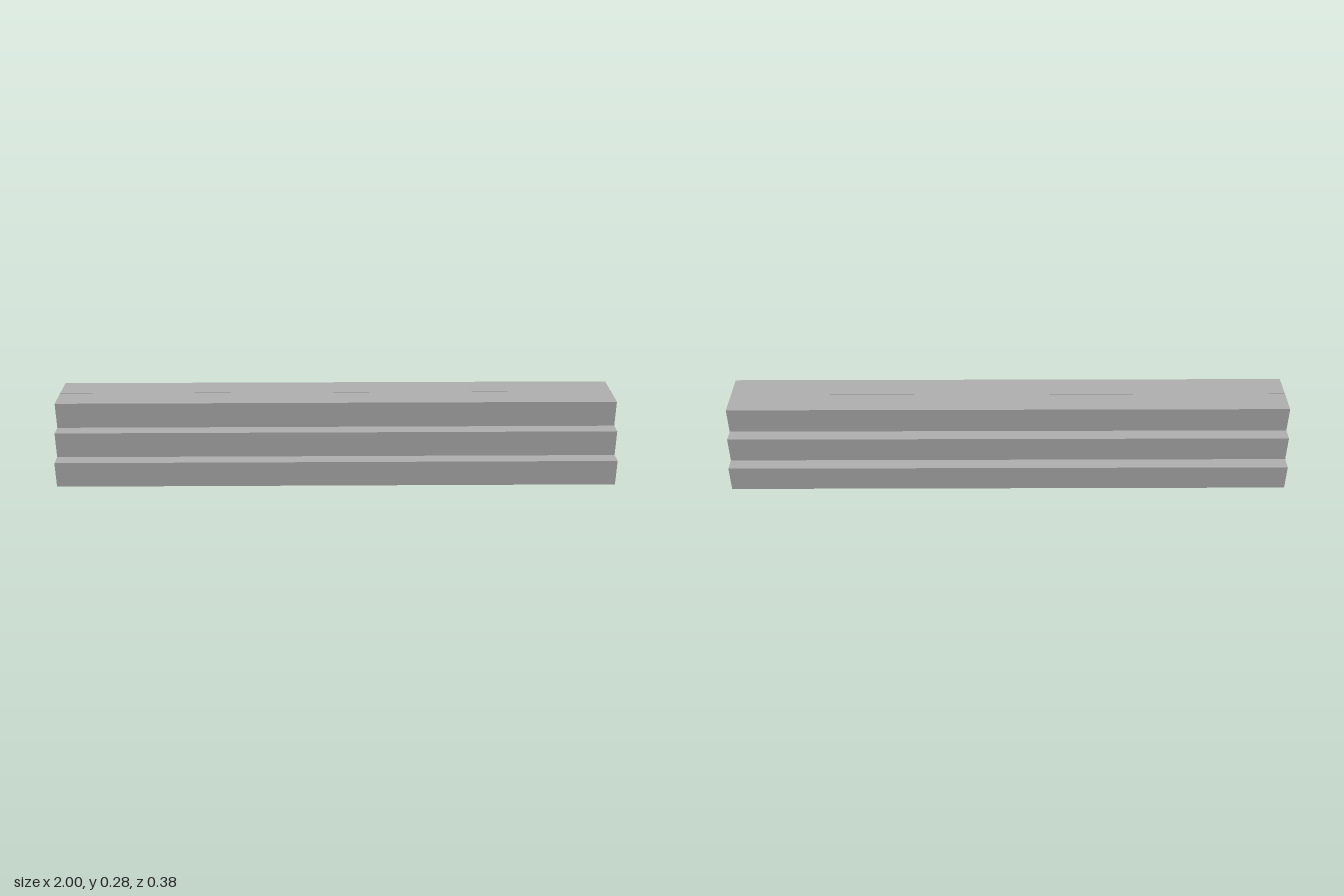
import * as THREE from 'three';

export function createModel() {
  const model = new THREE.Group();
  model.name = 'beamStack';
  const grey = new THREE.MeshStandardMaterial({ color: 0xb0b0b0 });
  grey.name = 'grey';

  const size = 0.094;    // square section of one beam
  const pitch = 0.0952;  // spacing that leaves a hairline gap between neighbours
  const beamGeometry = new THREE.BoxGeometry(2, size, size);

  // Three layers of long square beams: four, three, then two
  [4, 3, 2].forEach((count, row) => {
    const layer = new THREE.Group();
    layer.name = ['bottomLayer', 'middleLayer', 'topLayer'][row];
    for (let i = 0; i < count; i++) {
      const beam = new THREE.Mesh(beamGeometry, grey);
      beam.name = `beam${i + 1}`;
      beam.position.set(0, size * (row + 0.5), (i - (count - 1) / 2) * pitch);
      layer.add(beam);
    }
    model.add(layer);
  });
  return model;
}
